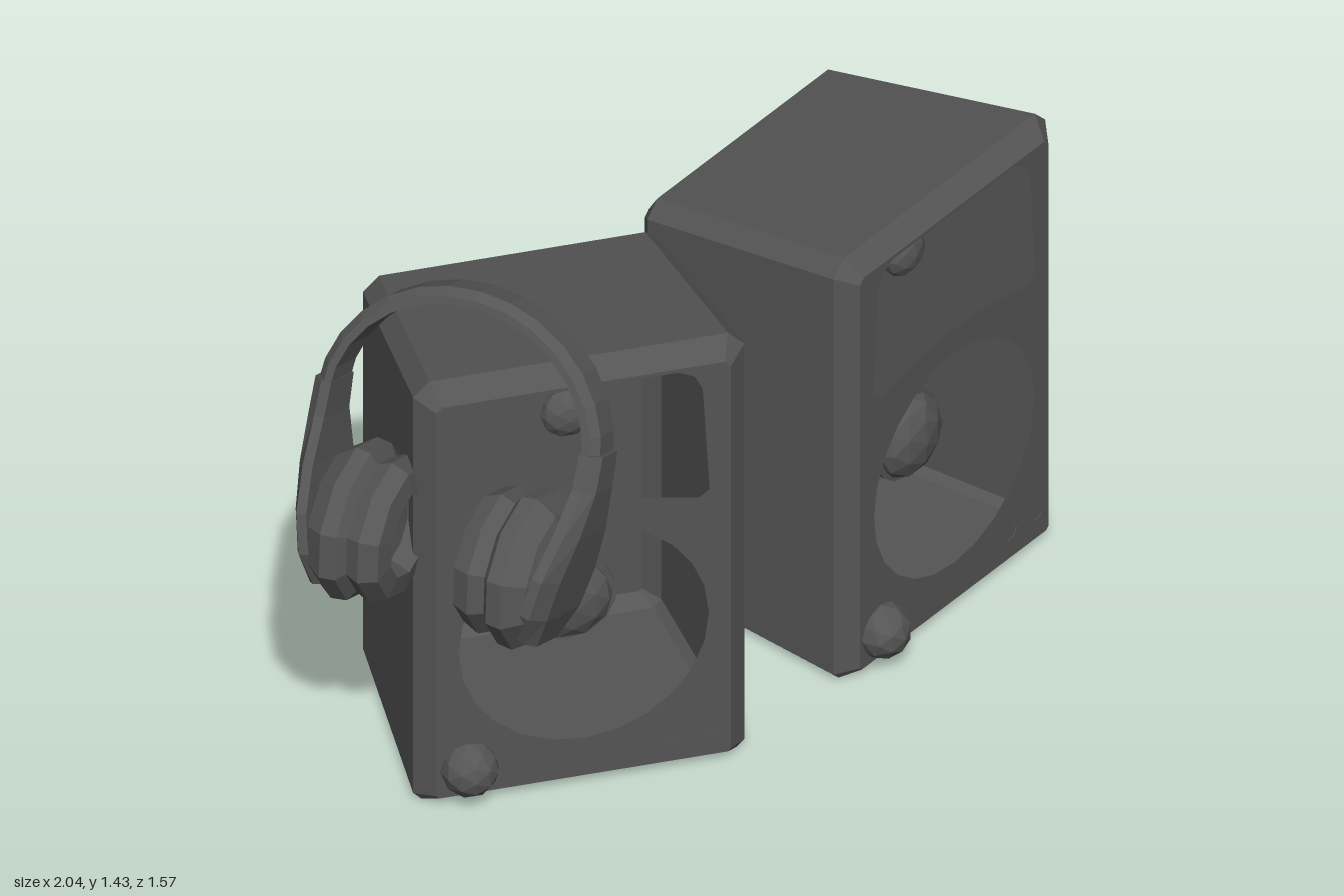
import * as THREE from 'three';

const charcoal = new THREE.MeshStandardMaterial({ color: 0x555555, flatShading: true, side: THREE.DoubleSide });
charcoal.name = 'charcoal';

function add(parent, geometry, name, x = 0, y = 0, z = 0) {
  const mesh = new THREE.Mesh(geometry, charcoal);
  mesh.name = name;
  mesh.position.set(x, y, z);
  parent.add(mesh);
  return mesh;
}

// Skin a row of equal-length closed rings, with optional end caps
function loft(rings, capStart, capEnd) {
  const n = rings[0].length, index = [], last = (rings.length - 1) * n;
  for (let r = 0; r < rings.length - 1; r++) {
    for (let i = 0; i < n; i++) {
      const a = r * n + i, b = r * n + (i + 1) % n;
      index.push(a, a + n, b, b, a + n, b + n);
    }
  }
  for (let i = 1; i < n - 1; i++) {
    if (capStart) index.push(0, i, i + 1);
    if (capEnd) index.push(last, last + i + 1, last + i);
  }
  const g = new THREE.BufferGeometry();
  g.setAttribute('position', new THREE.Float32BufferAttribute(rings.flat(2), 3));
  g.setIndex(index);
  const flat = g.toNonIndexed();
  flat.computeVertexNormals();
  return flat;
}

// Rectangle with cut corners, counter-clockwise from the front
function cutRect(w, y0, y1, z, top, bottom) {
  return [
    [w - bottom, y0, z], [w, y0 + bottom, z], [w, y1 - top, z], [w - top, y1, z],
    [-w + top, y1, z], [-w, y1 - top, z], [-w, y0 + bottom, z], [-w + bottom, y0, z],
  ];
}

function polygonHole(x, y, r, sides) {
  const pts = [];
  for (let i = 0; i < sides; i++) {
    const a = (i / sides) * Math.PI * 2;
    pts.push(new THREE.Vector2(x + r * Math.cos(a), y + r * Math.sin(a)));
  }
  return new THREE.Path(pts);
}

function createSpeaker(name) {
  const speaker = new THREE.Group();
  speaker.name = name;

  // Hollow cabinet that narrows and drops towards the back
  const front = cutRect(0.365, 0.025, 1.18, 0, 0.015, 0.008);
  add(speaker, loft([
    front,
    cutRect(0.41, 0, 1.23, -0.045, 0.04, 0.02),
    cutRect(0.37, 0, 1.115, -0.64, 0.04, 0.02),
    cutRect(0.33, 0.025, 1.055, -0.68, 0.015, 0.008),
  ], false, true), 'cabinet');

  // Baffle with tweeter window, woofer opening and sockets
  const baffle = new THREE.Shape(front.map(([x, y]) => new THREE.Vector2(x, y)));
  const half = [[0.08, 0.828], [0.16, 0.815], [0.285, 0.79], [0.312, 0.81], [0.295, 1.11], [0.275, 1.15], [0.235, 1.17]];
  const right = half.map(([x, y]) => new THREE.Vector2(x, y));
  const left = half.map(([x, y]) => new THREE.Vector2(-x, y)).reverse();
  baffle.holes.push(new THREE.Path([...right, ...left]), polygonHole(0, 0.445, 0.31, 24));
  for (const x of [0.22, 0.32]) baffle.holes.push(polygonHole(x, 0.1, 0.023, 6));
  add(speaker, new THREE.ShapeGeometry(baffle), 'baffle');

  // Recessed drivers
  add(speaker, new THREE.IcosahedronGeometry(0.11, 1), 'wooferDome', 0, 0.45, -0.14).scale.z = 0.55;
  add(speaker, new THREE.CylinderGeometry(0.12, 0.12, 0.02, 14).rotateX(Math.PI / 2), 'wooferRim', 0, 0.45, -0.15);
  add(speaker, new THREE.IcosahedronGeometry(0.066, 1), 'tweeterDome', 0, 0.99, -0.155).scale.z = 0.65;

  // Volume knob and socket cups
  add(speaker, new THREE.IcosahedronGeometry(0.072, 1), 'volumeKnob', -0.285, 0.105, 0.005);
  for (const x of [0.22, 0.32]) {
    const cup = new THREE.CylinderGeometry(0.023, 0.01, 0.02, 6, 1).rotateX(Math.PI / 2).rotateZ(Math.PI / 2);
    add(speaker, cup, 'socket', x, 0.1, -0.012);
  }
  return speaker;
}

// Sweep a bevelled strip along [x, y, halfWidth, thickness] stations in the xy plane
function strip(stations) {
  const rings = stations.map(([x, y, hw, t], i) => {
    const p = stations[Math.max(i - 1, 0)], q = stations[Math.min(i + 1, stations.length - 1)];
    const dx = q[0] - p[0], dy = q[1] - p[1], len = Math.hypot(dx, dy);
    const nx = -dy / len, ny = dx / len;
    return [[-hw, -t], [hw, -t], [hw, 0], [hw * 0.65, t], [-hw * 0.65, t], [-hw, 0]]
      .map(([w, n]) => [x + nx * n, y + ny * n, w]);
  });
  return loft(rings, true, true);
}

function createHeadphones() {
  const phones = new THREE.Group();
  phones.name = 'headphones';

  // Headband arch
  const arch = [];
  for (let i = 0; i <= 14; i++) {
    const a = Math.PI * (1 - i / 14);
    arch.push([0.355 * Math.cos(a), 0.3 + 0.325 * Math.sin(a), 0.06, 0.02]);
  }
  add(phones, strip(arch), 'headband');

  // Arms widening into the outer cup plates
  const arm = [
    [0.355, 0.33, 0.066, 0.026], [0.355, 0.24, 0.075, 0.026], [0.345, 0.13, 0.12, 0.026],
    [0.325, 0.02, 0.16, 0.026], [0.305, -0.08, 0.15, 0.026], [0.28, -0.16, 0.09, 0.022],
  ];
  add(phones, strip(arm), 'leftArm');
  add(phones, strip(arm.map(([x, ...rest]) => [-x, ...rest]).reverse()), 'rightArm');

  // Ear cups: cushion, shell and faceted badge plate
  const vec = (pts) => pts.map(([r, y]) => new THREE.Vector2(r, y));
  const cushion = vec([[0, 0.15], [0.09, 0.14], [0.11, 0.09], [0.165, 0.1], [0.185, 0.145], [0.165, 0.19]]);
  const shell = vec([[0.165, 0.18], [0.195, 0.2], [0.2, 0.24], [0.165, 0.29], [0.1, 0.315], [0, 0.315]]);
  for (const side of [1, -1]) {
    const cup = new THREE.Group();
    cup.name = side > 0 ? 'leftEarCup' : 'rightEarCup';
    if (side < 0) cup.rotation.y = Math.PI;
    add(cup, new THREE.LatheGeometry(cushion, 10).rotateZ(-Math.PI / 2), 'cushion');
    add(cup, new THREE.LatheGeometry(shell, 10).rotateZ(-Math.PI / 2), 'cupShell');
    const plate = add(cup, new THREE.CylinderGeometry(0.085, 0.085, 0.009, 5).rotateZ(-Math.PI / 2), 'cupPlate', 0.338, -0.02, 0);
    plate.rotation.z = -0.19;
    phones.add(cup);
  }

  // Lean back against the cabinet corner
  const across = new THREE.Vector3(0.75, 0, 0.66).normalize();
  const up = new THREE.Vector3(0.24, 0.93, -0.273).normalize();
  const forward = new THREE.Vector3().crossVectors(across, up).normalize();
  phones.quaternion.setFromRotationMatrix(new THREE.Matrix4().makeBasis(across, up, forward));
  phones.position.set(-0.7, 0.82, 0.48);
  return phones;
}

export function createModel() {
  const model = new THREE.Group();
  model.name = 'speakersWithHeadphones';
  const rightSpeaker = createSpeaker('rightSpeaker');
  rightSpeaker.position.set(-0.34, 0, 0.425);
  const leftSpeaker = createSpeaker('leftSpeaker');
  leftSpeaker.position.set(0.7, 0, -0.02);
  leftSpeaker.rotation.y = 0.637;
  model.add(rightSpeaker, leftSpeaker, createHeadphones());
  return model;
}
